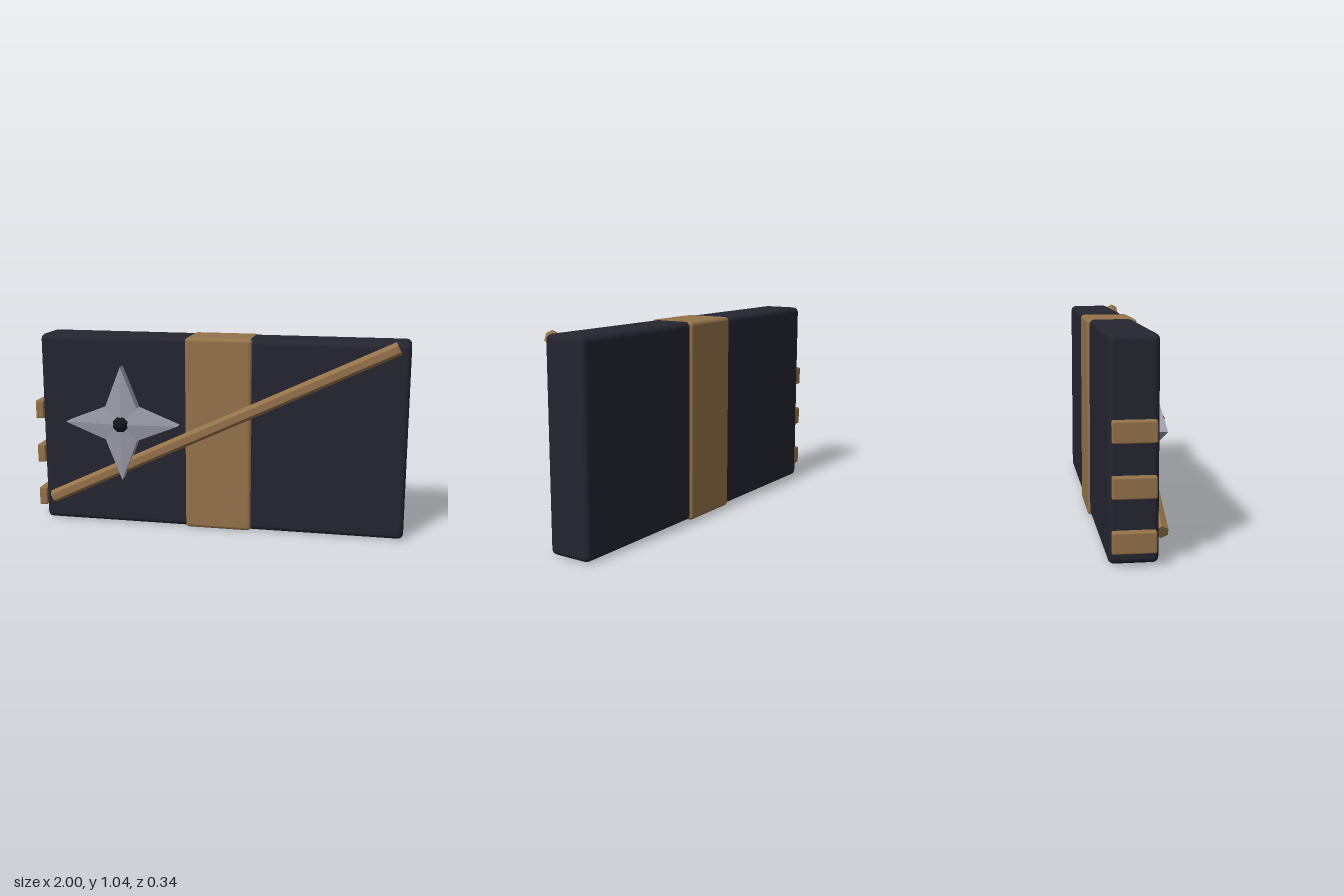
import * as THREE from 'three';
import { RoundedBoxGeometry } from 'three/addons/geometries/RoundedBoxGeometry.js';

const material = (name, color, flatShading = false) => {
  const m = new THREE.MeshStandardMaterial({ color, flatShading });
  m.name = name;
  return m;
};

// Star prism whose front rises to a shallow central peak
function starGeometry(points, outer, inner, back, edge, peak) {
  const n = points * 2, pos = [];
  const corner = (i, z) => {
    const a = Math.PI / 2 + (i * Math.PI) / points;
    const r = i % 2 ? inner : outer;
    return [r * Math.cos(a), r * Math.sin(a), z];
  };
  for (let i = 0; i < n; i++) {
    const f0 = corner(i, edge), f1 = corner(i + 1, edge);
    const b0 = corner(i, back), b1 = corner(i + 1, back);
    pos.push(...f0, ...f1, 0, 0, peak);
    pos.push(...b1, ...b0, 0, 0, back);
    pos.push(...b0, ...b1, ...f1, ...b0, ...f1, ...f0);
  }
  const g = new THREE.BufferGeometry();
  g.setAttribute('position', new THREE.Float32BufferAttribute(pos, 3));
  g.computeVertexNormals();
  return g;
}

export function createModel() {
  const group = new THREE.Group();
  const navy = material('dark navy', 0x242530);
  const bronze = material('bronze', 0x94734a);
  const bronzeFlat = bronze;
  const steel = material('steel', 0x9c9caa, true);
  const black = material('black', 0x15161c, true);

  const add = (name, geometry, mat, x, y, z) => {
    const mesh = new THREE.Mesh(geometry, mat);
    mesh.name = name;
    mesh.position.set(x, y, z);
    group.add(mesh);
    return mesh;
  };
  // Rounded box given by its limits on each axis
  const box = (name, mat, [x0, x1], [y0, y1], [z0, z1], radius) =>
    add(name, new RoundedBoxGeometry(x1 - x0, y1 - y0, z1 - z0, 2, radius), mat,
      (x0 + x1) / 2, (y0 + y1) / 2, (z0 + z1) / 2);

  // Case and the band wrapped round it
  box('case', navy, [-0.95, 1], [0.002, 1.027], [-0.157, 0.072], 0.028);
  box('band', bronze, [-0.155, 0.2], [0, 1.029], [-0.17, 0.087], 0.02);

  // Clips along the right edge
  for (const y of [0.115, 0.362, 0.609]) {
    box('clip', bronze, [-1, -0.955], [y - 0.05, y + 0.05], [-0.145, 0.055], 0.008);
  }

  // Six-sided rod laid diagonally across the front
  const start = new THREE.Vector3(-0.9, 0.13, 0.089);
  const end = new THREE.Vector3(0.94, 1.006, 0.089);
  const along = end.clone().sub(start);
  const rodGeometry = new THREE.CylinderGeometry(0.035, 0.035, along.length(), 6)
    .rotateY(Math.PI / 2).toNonIndexed();
  rodGeometry.computeVertexNormals();
  const middle = start.clone().add(end).multiplyScalar(0.5);
  const rod = add('rod', rodGeometry, bronzeFlat, middle.x, middle.y, middle.z);
  rod.rotation.z = Math.atan2(along.y, along.x) - Math.PI / 2;

  // Four-pointed star with a faceted hub
  add('star', starGeometry(4, 0.306, 0.123, 0.08, 0.134, 0.152), steel, -0.49, 0.567, 0);
  const hub = new THREE.LatheGeometry(
    [[0, 0.12], [0.03, 0.12], [0.044, 0.147], [0.017, 0.17], [0, 0.17]]
      .map(([r, y]) => new THREE.Vector2(r, y)), 8)
    .rotateY(Math.PI / 8).rotateX(Math.PI / 2);
  add('hub', hub, black, -0.49, 0.567, 0);

  return group;
}
